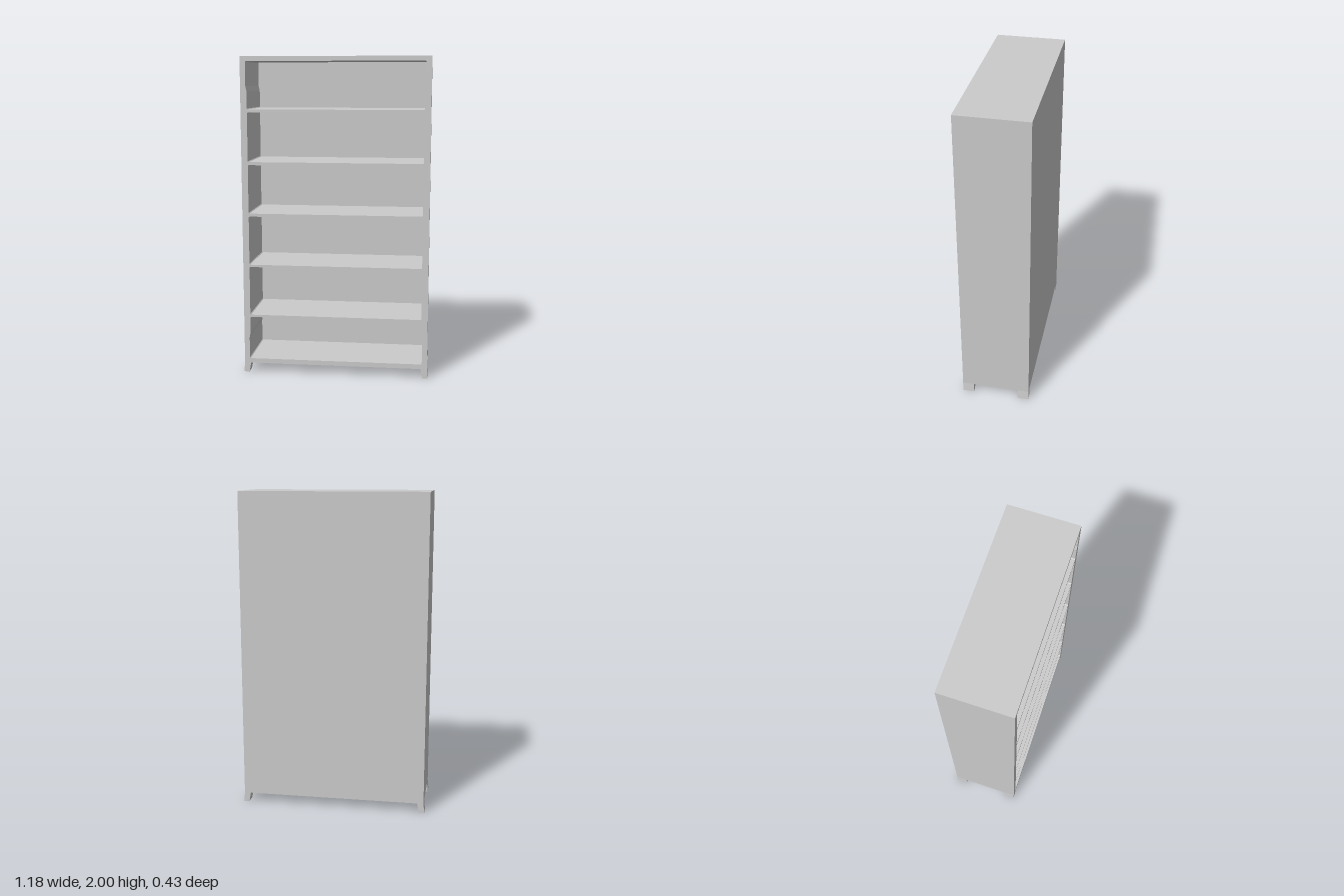
import * as THREE from 'three';

const HALF_W = 0.583, HALF_D = 0.217, BASE = 0.06, TOP = 2, BACK = 0.042;

// Flat profile in x/y, extruded along z from z0
function extrude(shape, depth, z0) {
  const geometry = new THREE.ExtrudeGeometry(shape, { depth, bevelEnabled: false });
  return geometry.translate(0, 0, z0);
}

function polygon(points) {
  return new THREE.Shape(points.map(([x, y]) => new THREE.Vector2(x, y)));
}

// Opening with clipped corners; rows of [half width, y] from bottom to top
function opening(rows) {
  const right = rows.map(([w, y]) => [w, y]);
  const left = rows.map(([w, y]) => [-w, y]).reverse();
  return polygon([...right, ...left]);
}

export function createModel() {
  const group = new THREE.Group();
  const material = new THREE.MeshStandardMaterial({ color: 0xcccccc, flatShading: true });
  const add = (name, geometry) => {
    const mesh = new THREE.Mesh(geometry, material);
    mesh.name = name;
    group.add(mesh);
    return mesh;
  };

  // Frame with sides, top, bottom and shelves left between the openings
  const frame = polygon([[-HALF_W, BASE], [HALF_W, BASE], [HALF_W, TOP], [-HALF_W, TOP]]);
  const bays = [[0.09, 0.364], [0.379, 0.69], [0.705, 1.013], [1.032, 1.336], [1.355, 1.659], [1.679, 1.971]];
  const narrow = 0.543, wide = 0.55, c = 0.005;
  bays.forEach(([y0, y1], i) => {
    const first = i === 0, last = i === bays.length - 1;
    const w0 = first ? wide : narrow, w1 = last ? wide : narrow;
    const rows = [[w0 - c, y0], [w0, y0 + c]];
    // The end bays widen slightly toward the top and bottom boards
    if (first) rows.push([wide, 0.23], [narrow, 0.26]);
    if (last) rows.push([narrow, 1.79], [wide, 1.82]);
    rows.push([w1, y1 - c], [w1 - c, y1]);
    frame.holes.push(opening(rows));
  });
  add('shelfFrame', extrude(frame, 2 * HALF_D - BACK, -HALF_D + BACK));

  // Back panel
  const back = new THREE.BoxGeometry(2 * HALF_W, TOP - BASE, BACK);
  add('backPanel', back.translate(0, (TOP + BASE) / 2, -HALF_D + BACK / 2));

  // Four feet splayed slightly outward
  for (const side of [1, -1]) {
    const foot = polygon([[0.554, 0], [0.589, 0], [HALF_W, BASE], [0.543, BASE]].map(([x, y]) => [x * side, y]));
    const name = side > 0 ? 'Left' : 'Right';
    add('front' + name + 'Foot', extrude(foot, 0.072, HALF_D - 0.072));
    add('back' + name + 'Foot', extrude(foot, 0.072, -HALF_D));
  }
  return group;
}
